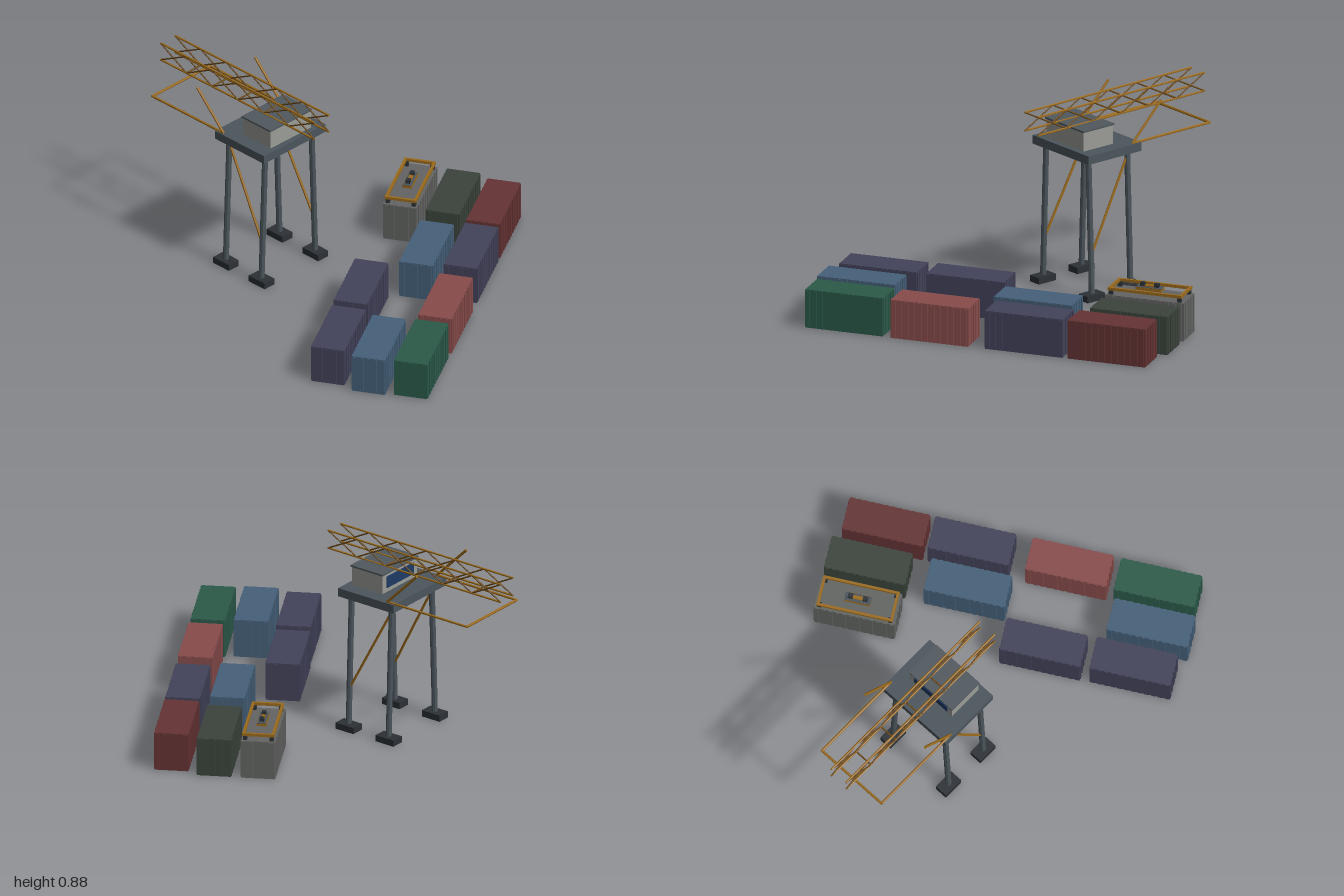
import * as THREE from 'three';

const mat = (color) => new THREE.MeshStandardMaterial({ color, flatShading: true });
const steel = mat(0x4b555c), darkSteel = mat(0x2c3136), gold = mat(0x9a6a1c), bronze = mat(0x6b4a1a);
const wall = mat(0x9a9c96), roofGrey = mat(0x50595f), glass = mat(0x1f3a66);

function box(parent, name, material, size, pos) {
  const m = new THREE.Mesh(new THREE.BoxGeometry(...size), material);
  m.name = name;
  m.position.set(...pos);
  parent.add(m);
  return m;
}

// Round bar between two points
function bar(parent, name, material, a, b, radius, sides = 6) {
  const p = new THREE.Vector3(...a), q = new THREE.Vector3(...b);
  const d = q.clone().sub(p);
  const m = new THREE.Mesh(new THREE.CylinderGeometry(radius, radius, d.length(), sides), material);
  m.name = name;
  m.position.copy(p).add(q).multiplyScalar(0.5);
  m.quaternion.setFromUnitVectors(new THREE.Vector3(0, 1, 0), d.normalize());
  parent.add(m);
  return m;
}

const YAW = Math.PI / 6;
const L = 0.372, W = 0.156, H = 0.18;

// Freight container with ribbed sides and ends
function container(color) {
  const g = new THREE.Group();
  g.name = 'container';
  const m = mat(color);
  box(g, 'containerBody', m, [L - 0.004, H, W - 0.004], [0, H / 2, 0]);
  for (const s of [-1, 1]) {
    for (let i = 0; i < 12; i++) {
      const x = (i - 5.5) * (L / 12);
      box(g, 'sideRib', m, [0.017, H - 0.006, 0.005], [x, H / 2, s * (W / 2 - 0.0015)]);
    }
    for (let i = 0; i < 5; i++) {
      const z = (i - 2) * (W / 5);
      box(g, 'endRib', m, [0.005, H - 0.006, 0.017], [s * (L / 2 - 0.0015), H / 2, z]);
    }
  }
  return g;
}

// Lifting frame resting on a container roof
function spreader() {
  const g = new THREE.Group();
  g.name = 'spreader';
  const l = 0.35, w = 0.145, y = 0.207;
  for (const s of [-1, 1]) {
    box(g, 'sideRail', gold, [l, 0.013, 0.012], [0, y, s * (w / 2 - 0.006)]);
    box(g, 'endRail', gold, [0.012, 0.013, w - 0.024], [s * (l / 2 - 0.006), y, 0]);
    box(g, 'headBeam', gold, [0.12, 0.013, 0.008], [0, y, s * 0.018]);
    box(g, 'headBeamEnd', gold, [0.012, 0.013, 0.044], [s * 0.054, y, 0]);
    box(g, 'sheave', darkSteel, [0.022, 0.018, 0.02], [s * 0.034, 0.224, 0]);
    for (const t of [-1, 1]) {
      box(g, 'twistLock', darkSteel, [0.018, 0.024, 0.018], [s * 0.163, 0.19, t * 0.06]);
    }
  }
  box(g, 'headPlate', steel, [0.12, 0.006, 0.04], [0, 0.213, 0]);
  box(g, 'headCore', gold, [0.05, 0.008, 0.018], [0, 0.218, 0]);
  return g;
}

// Elevated platform on four splayed legs
function tower() {
  const g = new THREE.Group();
  g.name = 'tower';
  const cx = -0.22, zf = -0.24, zb = -0.465;
  box(g, 'platform', steel, [0.39, 0.04, 0.31], [cx, 0.67, -0.355]);
  for (const s of [-1, 1]) {
    const top = cx + s * 0.147, foot = cx + s * 0.17;
    for (const z of [zf, zb]) {
      bar(g, 'leg', steel, [foot, 0.02, z], [top, 0.655, z], 0.0135, 8);
      box(g, 'foot', darkSteel, [0.062, 0.03, 0.1], [foot, 0.015, z]);
    }
    const side = cx + s * 0.183;
    // Brace from the low front leg to the high back leg
    bar(g, 'brace', gold, [cx + s * 0.163, 0.2, zf], [cx + s * 0.148, 0.63, zb], 0.006);
    // Raked mast and outrigger arm
    bar(g, 'mast', gold, [side, 0.69, zb], [side, 0.86, -0.633], 0.006);
    bar(g, 'outriggerArm', gold, [side, 0.692, zb], [side, 0.692, -0.915], 0.006);
  }
  bar(g, 'outriggerCrossbar', gold, [cx - 0.186, 0.692, -0.915], [cx + 0.186, 0.692, -0.915], 0.006);
  // Machinery cabin
  box(g, 'cabin', wall, [0.256, 0.09, 0.172], [cx, 0.735, -0.312]);
  box(g, 'cabinRoof', roofGrey, [0.266, 0.008, 0.18], [cx, 0.783, -0.312]);
  box(g, 'cabinWindow', glass, [0.2, 0.055, 0.006], [cx, 0.738, -0.399]);
  return g;
}

// Lattice boom with crossed webbing
function boom() {
  const g = new THREE.Group();
  g.name = 'boom';
  const z0 = -0.03, z1 = -1, y0 = 0.787, y1 = 0.873, bays = 6;
  const step = (z1 - z0) / bays;
  const xs = [-0.265, -0.174];
  for (const x of xs) {
    bar(g, 'lowerChord', gold, [x, y0, z0], [x, y0, z1], 0.005);
    bar(g, 'upperChord', gold, [x, y1, z0], [x, y1, z1], 0.005);
    for (let i = 0; i < bays; i++) {
      const a = z0 + i * step, b = a + step;
      bar(g, 'lattice', bronze, [x, y0, a], [x, y1, b], 0.0035);
      bar(g, 'lattice', bronze, [x, y1, a], [x, y0, b], 0.0035);
    }
  }
  for (let i = 2; i < bays; i++) {
    const z = z0 + i * step;
    bar(g, 'crossTie', bronze, [xs[0], y0, z], [xs[1], y0, z], 0.004);
  }
  return g;
}

export function createModel() {
  const model = new THREE.Group();
  model.name = 'containerYard';
  const purple = 0x42425a, blue = 0x456079;
  const yard = [
    [0.628, 0.21, 0x653334], [0.56, 0.022, 0x3b433b], [0.462, -0.15, 0x626462],
    [0.163, 0.25, blue], [0.287, 0.407, purple], [-0.1, 0.632, 0x874c4b],
    [-0.455, 0.832, 0x2b5a49], [-0.563, 0.672, blue], [-0.632, 0.485, purple],
    [-0.277, 0.275, purple],
  ];
  for (const [x, z, color] of yard) {
    const c = container(color);
    c.position.set(x, 0, z);
    c.rotation.y = YAW;
    model.add(c);
  }
  const s = spreader();
  s.position.set(0.462, 0, -0.15);
  s.rotation.y = YAW;
  model.add(s, tower(), boom());
  return model;
}
